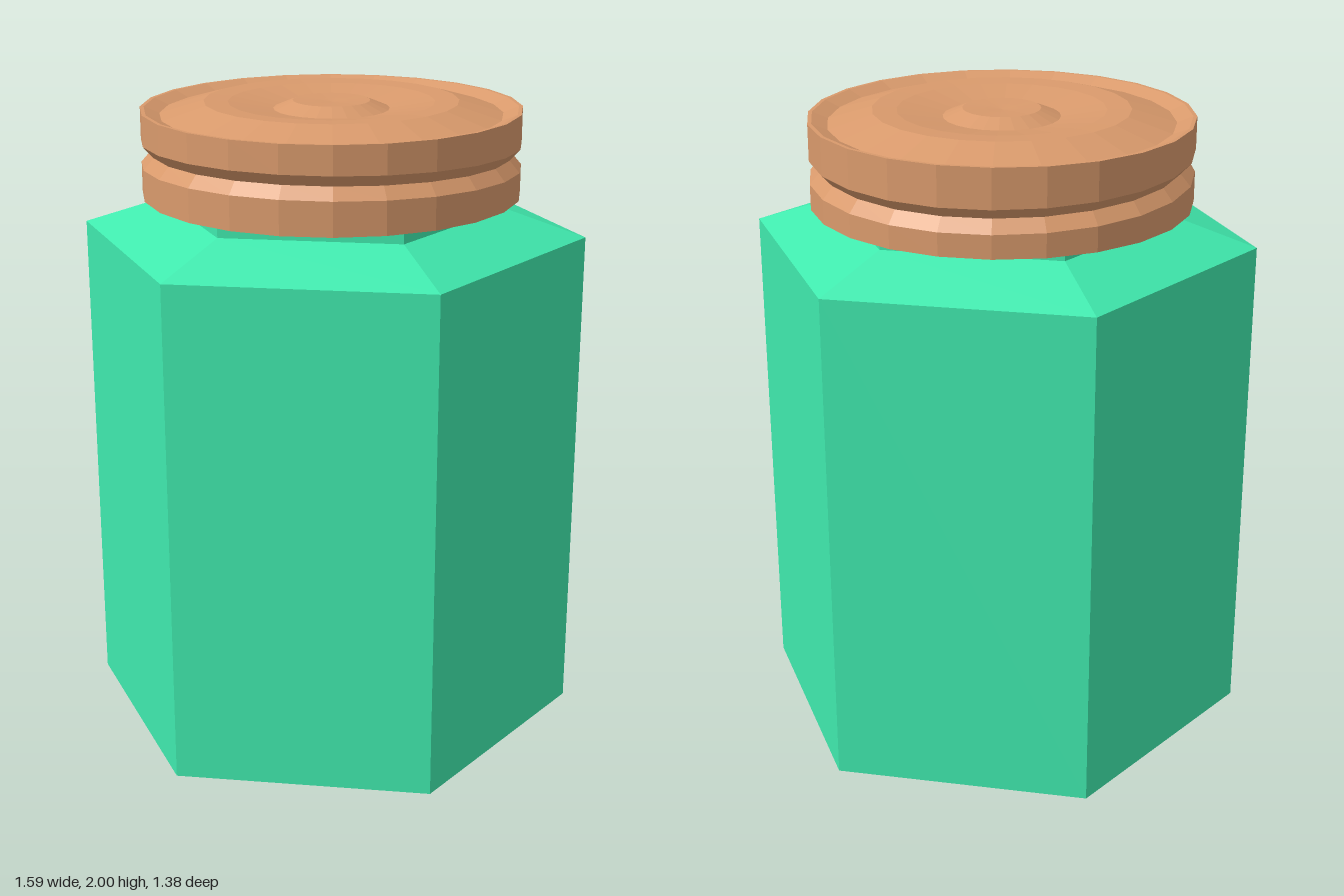
import * as THREE from 'three';

// Flat-shaded solid of revolution from [radius, height] pairs
function turned(name, profile, sides, start, color) {
  const points = profile.map(([r, y]) => new THREE.Vector2(r, y));
  const geometry = new THREE.LatheGeometry(points, sides, start);
  const material = new THREE.MeshStandardMaterial({ color, flatShading: true });
  const mesh = new THREE.Mesh(geometry, material);
  mesh.name = name;
  return mesh;
}

export function createModel() {
  const group = new THREE.Group();
  group.name = 'jar';

  // Six-sided body with sloping shoulder and short neck
  const body = turned('jarBody', [
    [0, 0], [0.793, 0], [0.793, 1.595], [0.545, 1.678], [0.545, 1.77], [0, 1.77],
  ], 6, Math.PI / 2 - 0.009, 0x40eaae);
  group.add(body);

  // Hollow lid: inside, lower band, groove, upper band, raised rim, rippled top
  const lid = turned('lid', [
    [0, 1.78], [0.57, 1.78], [0.57, 1.715], [0.592, 1.715],
    [0.592, 1.803], [0.56, 1.84], [0.592, 1.875],
    [0.592, 1.98], [0.58, 1.98], [0.532, 1.96],
    [0.395, 2], [0.32, 1.997], [0.18, 1.975], [0.12, 2], [0.05, 1.997], [0, 1.994],
  ], 24, Math.PI / 24, 0xd99a6c);

  // Slant the groove so that it runs like a screw thread
  const pos = lid.geometry.attributes.position;
  for (let i = 0; i < pos.count; i++) {
    const y = pos.getY(i);
    if (y > 1.8 && y < 1.9) pos.setY(i, y - 0.027 * pos.getX(i) + 0.01 * pos.getZ(i));
  }
  lid.geometry.computeVertexNormals();
  lid.position.set(0.015, 0, -0.012);
  group.add(lid);

  return group;
}
